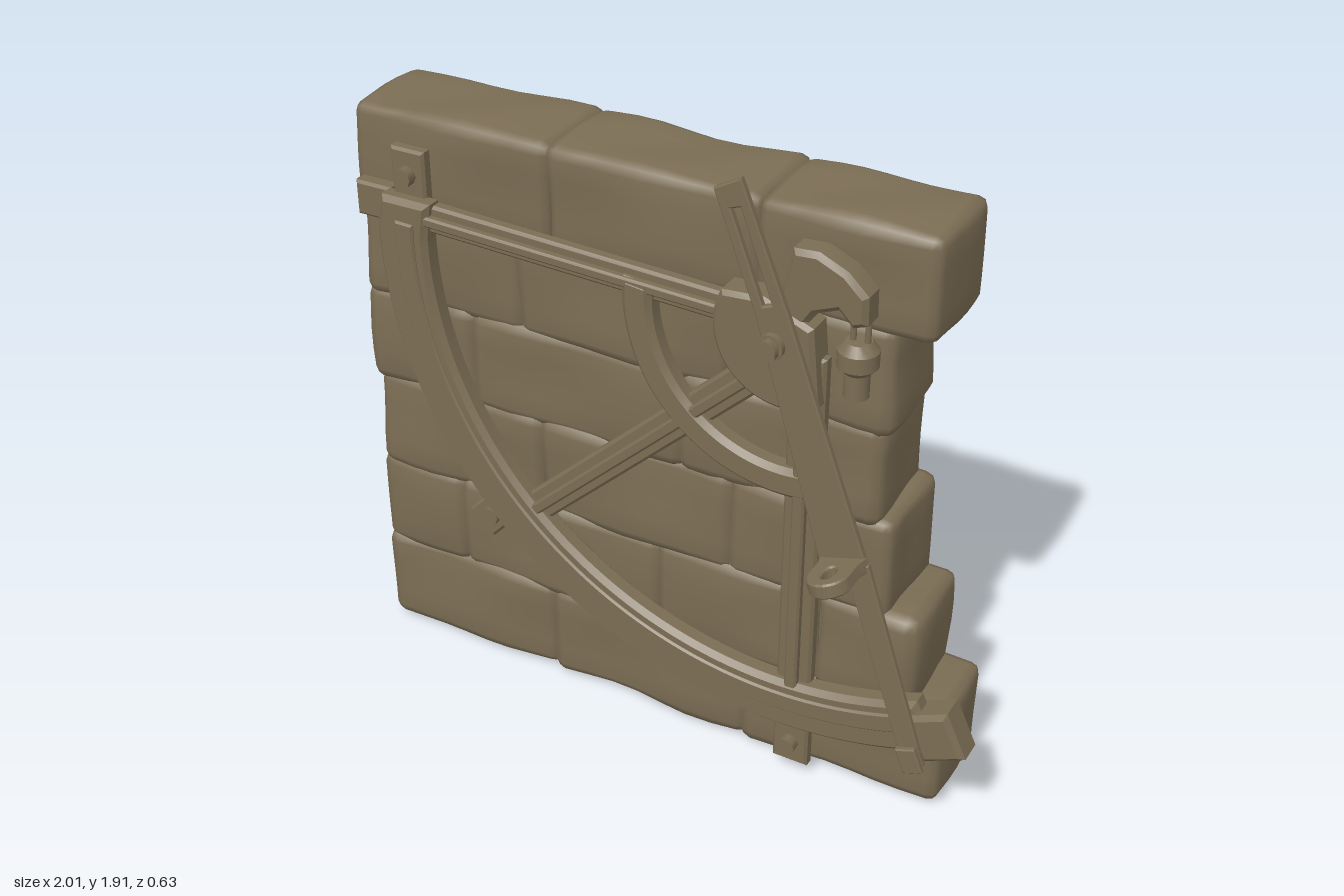
import * as THREE from 'three';
import { mergeVertices, toCreasedNormals } from 'three/addons/utils/BufferGeometryUtils.js';

const stone = new THREE.MeshStandardMaterial({ color: 0x7b6d54 });
stone.name = 'weathered brown';

const V = (x, y) => new THREE.Vector2(x, y);
const CX = 0.42, CY = 1.47; // centre of the quadrant

function add(parent, name, geo) {
  const mesh = new THREE.Mesh(geo, stone);
  mesh.name = name;
  parent.add(mesh);
  return mesh;
}

// Bevelled plate lying in the xy plane between z0 and z1
function plate(parent, name, shape, z0, z1, bevel = 0.008) {
  if (Array.isArray(shape)) shape = new THREE.Shape(shape.map(p => V(...p)));
  const geo = new THREE.ExtrudeGeometry(shape, {
    depth: z1 - z0 - 2 * bevel, curveSegments: 48, bevelEnabled: true,
    bevelSegments: 1, bevelThickness: bevel, bevelSize: bevel, bevelOffset: -bevel,
  });
  geo.translate(0, 0, z0 + bevel);
  return add(parent, name, toCreasedNormals(geo, 0.5));
}

function rect(w, h) {
  return [[-w / 2, -h / 2], [w / 2, -h / 2], [w / 2, h / 2], [-w / 2, h / 2]];
}

// Worn stone block: rounded edges and a gentle uneven surface
function block(parent, x0, x1, y0, y1, z0, z1, seed) {
  const half = [(x1 - x0) / 2, (y1 - y0) / 2, (z1 - z0) / 2];
  const r = 0.034, n = [9, 6, 6];
  const geo = new THREE.BoxGeometry(2, 2, 2, ...n);
  geo.deleteAttribute('uv');
  geo.deleteAttribute('normal');
  const g = mergeVertices(geo);
  const pos = g.attributes.position;
  for (let i = 0; i < pos.count; i++) {
    const p = [pos.getX(i), pos.getY(i), pos.getZ(i)];
    const q = [], d = new THREE.Vector3();
    p.forEach((v, k) => {
      const edge = Math.abs(v) > 0.999;
      const inner = half[k] - r;
      q[k] = edge ? Math.sign(v) * inner : v / (1 - 2 / n[k]) * inner;
      d.setComponent(k, edge ? Math.sign(v) : 0);
    });
    d.normalize();
    const bump = 0.007 * Math.sin(q[0] * 9 + seed * 2.3) * Math.cos(q[1] * 13 + seed)
      + 0.005 * Math.sin(q[2] * 17 + q[0] * 14 + seed * 4.1);
    d.multiplyScalar(r + bump);
    pos.setXYZ(i, q[0] + d.x, q[1] + d.y, q[2] + d.z);
  }
  g.computeVertexNormals();
  add(parent, 'stoneBlock', g).position.set((x0 + x1) / 2, (y0 + y1) / 2, (z0 + z1) / 2);
}

function buildWall() {
  const wall = new THREE.Group();
  wall.name = 'stoneWall';
  // bottom, top, then block joints from left to right
  const courses = [
    [0.01, 0.32, [-0.99, -0.37, 0.28, 0.9]],
    [0.31, 0.615, [-0.99, -0.69, -0.01, 0.5, 0.8]],
    [0.605, 0.915, [-0.98, -0.4, 0.22, 0.71]],
    [0.905, 1.205, [-0.99, -0.62, 0.06, 0.665]],
    [1.195, 1.5, [-0.985, -0.45, 0.2, 0.68]],
    [1.49, 1.785, [-0.99, -0.35, 0.28, 0.785]],
  ];
  const lap = 0.009; // blocks press tightly together
  courses.forEach(([y0, y1, xs], row) => {
    for (let i = 0; i < xs.length - 1; i++) {
      block(wall, xs[i] - (i ? lap : 0), xs[i + 1] + (i < xs.length - 2 ? lap : 0),
        y0 - (row ? lap : 0), y1 + (row < 5 ? lap : 0), -0.305, 0.008, row * 5 + i * 3 + 1);
    }
  });
  // solid core behind the joints
  add(wall, 'mortarCore', new THREE.BoxGeometry(1.6, 1.7, 0.25)).position.set(-0.15, 0.9, -0.15);
  return wall;
}

// Ribbed strut between two points
function strut(parent, name, a, b, width) {
  const group = new THREE.Group();
  group.name = name;
  const dx = b[0] - a[0], dy = b[1] - a[1], len = Math.hypot(dx, dy);
  plate(group, 'flange', rect(len, width), 0.045, 0.085);
  plate(group, 'rib', rect(len, width * 0.36), 0.08, 0.108, 0.006);
  group.position.set((a[0] + b[0]) / 2, (a[1] + b[1]) / 2, 0);
  group.rotation.z = Math.atan2(dy, dx);
  parent.add(group);
}

function band(r0, r1, a0, a1) {
  const s = new THREE.Shape();
  s.absarc(CX, CY, r1, a0, a1, false);
  s.absarc(CX, CY, r0, a1, a0, true);
  return s;
}

// Wall lug with a bolt
function lug(parent, x, y, angle) {
  const group = new THREE.Group();
  group.name = 'mountingLug';
  plate(group, 'lugPlate', rect(0.11, 0.15), 0.03, 0.07);
  bolt(group, 'lugBolt', 0, 0, 0.028, -0.02, 0.1, 8);
  group.position.set(x, y, 0);
  group.rotation.z = angle;
  parent.add(group);
}

function bolt(parent, name, x, y, r, z0, z1, sides = 12) {
  const geo = new THREE.CylinderGeometry(r, r, z1 - z0, sides);
  geo.rotateX(Math.PI / 2);
  add(parent, name, geo).position.set(x, y, (z0 + z1) / 2);
}

function buildQuadrant() {
  const quad = new THREE.Group();
  quad.name = 'quadrant';
  const rad = THREE.MathUtils.degToRad;

  // Graduated limb, with a straight run at its upper end
  const limb = new THREE.Shape();
  limb.moveTo(-0.83, 1.575);
  limb.lineTo(-0.85, CY);
  limb.absarc(CX, CY, 1.27, Math.PI, rad(293), false);
  limb.absarc(CX, CY, 1.105, rad(293), Math.PI, true);
  limb.lineTo(-0.67, 1.575);
  plate(quad, 'limb', limb, 0.04, 0.112, 0.016);
  plate(quad, 'limbScale', band(1.14, 1.2, rad(178), rad(290)), 0.1, 0.12, 0.006);
  const end = plate(quad, 'limbEnd', rect(0.13, 0.15), 0.03, 0.13, 0.014);
  end.position.set(0.92, 0.365, 0);
  end.rotation.z = rad(25);
  plate(quad, 'limbStop', rect(0.12, 0.105), 0.01, 0.06).position.set(-0.89, 1.52, 0);

  // Inner arc and struts
  plate(quad, 'innerArc', band(0.395, 0.485, rad(174), rad(281)), 0.04, 0.11, 0.016);
  strut(quad, 'topStrut', [-0.72, 1.525], [0.32, 1.49], 0.085);
  strut(quad, 'diagonalStrut', [-0.37, 0.67], [0.34, 1.34], 0.095);
  strut(quad, 'verticalStrut', [0.473, 0.3], [0.473, 1.42], 0.105);

  // Hub
  const hub = new THREE.Shape();
  hub.absarc(CX, CY, 0.205, rad(152), rad(300), false);
  hub.lineTo(0.5, 1.52);
  hub.lineTo(0.36, 1.575);
  plate(quad, 'hubPlate', hub, 0.03, 0.125, 0.012);
  bolt(quad, 'pivotBolt', 0.415, 1.48, 0.036, -0.02, 0.19, 16);
  bolt(quad, 'pivotNut', 0.415, 1.48, 0.03, 0.185, 0.212, 6);

  lug(quad, -0.757, 1.635, 0);
  lug(quad, -0.53, 0.59, rad(-43));
  lug(quad, 0.465, 0.12, 0);
  return quad;
}

function buildAlidade() {
  const arm = new THREE.Group();
  arm.name = 'sightingArm';
  const upper = new THREE.Shape([V(0.24, 1.87), V(0.36, 1.56), V(0.575, 0.86),
    V(0.705, 0.9), V(0.455, 1.57), V(0.315, 1.912)]);
  upper.holes.push(new THREE.Path([V(0.288, 1.825), V(0.316, 1.835), V(0.408, 1.59), V(0.382, 1.58)]));
  plate(arm, 'upperArm', upper, 0.15, 0.172, 0.004);
  plate(arm, 'lowerArm', [[0.635, 0.9], [0.855, 0.265], [0.91, 0.295], [0.71, 0.9]], 0.15, 0.17, 0.004);

  // Pierced sight standing out from the arm
  const sight = new THREE.Shape();
  sight.moveTo(-0.07, 0);
  sight.lineTo(0.07, 0);
  sight.lineTo(0.06, 0.035);
  sight.absarc(0, 0.09, 0.06, 0, Math.PI, false);
  sight.lineTo(-0.06, 0.035);
  const hole = new THREE.Path();
  hole.absellipse(0, 0.085, 0.018, 0.03, 0, Math.PI * 2, true);
  sight.holes.push(hole);
  const holder = new THREE.Group();
  holder.name = 'sight';
  plate(holder, 'sightTab', sight, -0.022, 0.022, 0.005).rotation.x = Math.PI / 2;
  holder.position.set(0.64, 0.882, 0.16);
  holder.rotation.z = 0.3;
  arm.add(holder);
  const lip = plate(arm, 'pointerLip', rect(0.06, 0.08), 0.165, 0.185, 0.004);
  lip.position.set(0.872, 0.31, 0);
  lip.rotation.z = 0.36;
  return arm;
}

function buildPlumb() {
  const plumb = new THREE.Group();
  plumb.name = 'plumbHanger';
  plate(plumb, 'hookBracket', [[0.38, 1.5], [0.46, 1.5], [0.5, 1.56], [0.56, 1.585], [0.6, 1.545],
    [0.64, 1.56], [0.638, 1.64], [0.58, 1.695], [0.5, 1.73], [0.43, 1.725]], 0.03, 0.115, 0.014);
  bolt(plumb, 'bracketBolt', 0.47, 1.68, 0.03, -0.03, 0.05);
  for (const s of [-1, 1]) {
    add(plumb, 'hangerProng', new THREE.CylinderGeometry(0.009, 0.009, 0.11, 8))
      .position.set(0.61 + s * 0.02, 1.535, 0.075);
  }
  const profile = [[0, 1.34], [0.034, 1.34], [0.034, 1.41], [0.055, 1.43], [0.055, 1.475],
    [0.035, 1.5], [0, 1.5]].map(p => V(...p));
  add(plumb, 'plumbBob', toCreasedNormals(new THREE.LatheGeometry(profile, 20), 0.5))
    .position.set(0.607, 0, 0.075);
  return plumb;
}

export function createModel() {
  const model = new THREE.Group();
  model.name = 'muralQuadrant';
  model.add(buildWall(), buildQuadrant(), buildAlidade(), buildPlumb());
  return model;
}
